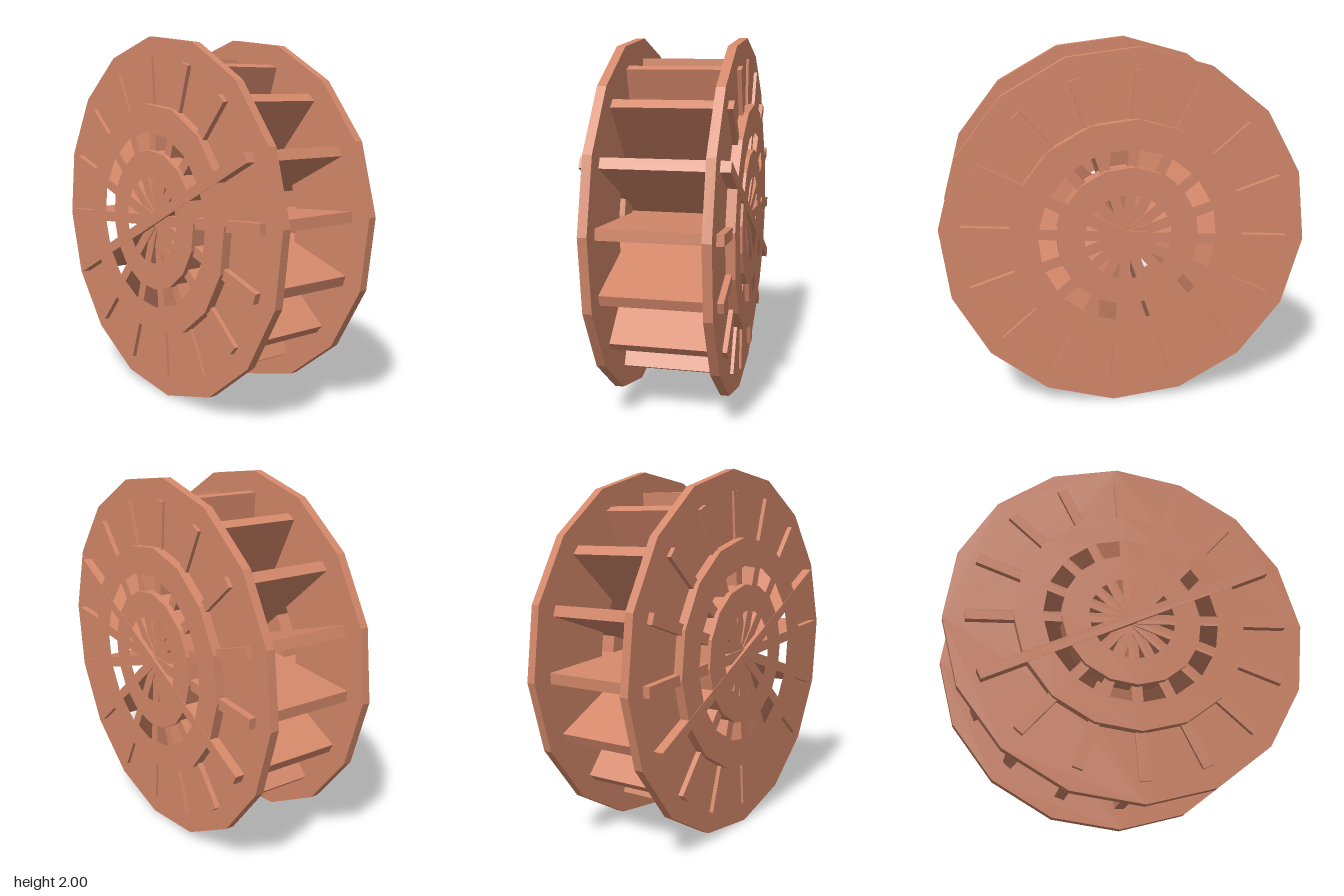
import * as THREE from 'three';

const SIDES = 16;
const STEP = (Math.PI * 2) / SIDES;
const PHASE = THREE.MathUtils.degToRad(4.3);

const material = new THREE.MeshStandardMaterial({ color: 0xd4886a, flatShading: true });

// Corners of the sixteen-sided outline at radius r
function corners(r) {
  return Array.from({ length: SIDES }, (_, i) => {
    const t = PHASE + i * STEP;
    return new THREE.Vector2(Math.sin(t) * r, Math.cos(t) * r);
  });
}

// Flat ring around the x axis, from x0 to x1
function ring(name, outer, inner, x0, x1) {
  const shape = new THREE.Shape(corners(outer));
  shape.holes.push(new THREE.Path(corners(inner)));
  const geometry = new THREE.ExtrudeGeometry(shape, { depth: x1 - x0, bevelEnabled: false });
  geometry.rotateY(Math.PI / 2).translate(x0, 0, 0);
  const mesh = new THREE.Mesh(geometry, material);
  mesh.name = name;
  return mesh;
}

export function createModel() {
  const model = new THREE.Group();
  model.name = 'waterWheel';

  const wheel = new THREE.Group();
  wheel.name = 'wheel';
  wheel.position.y = 1;
  model.add(wheel);

  // Each side: large rim disc, raised middle ring and hub ring
  for (const [side, label] of [[1, 'left'], [-1, 'right']]) {
    const add = (name, outer, inner, a, b) =>
      wheel.add(ring(label + name, outer, inner, Math.min(side * a, side * b), Math.max(side * a, side * b)));
    add('RimDisc', 1.003, 0.6, 0.272, 0.32);
    add('MiddleRing', 0.64, 0.487, 0.272, 0.371);
    add('HubRing', 0.387, 0.24, 0.272, 0.371);
  }

  // Eight full-diameter paddle boards, their ends poking out by slightly different amounts
  const halfWidths = [0.334, 0.338, 0.345, 0.352, 0.358, 0.373, 0.349, 0.343];
  halfWidths.forEach((half, k) => {
    const board = new THREE.Mesh(new THREE.BoxGeometry(half * 2, 1.775, 0.058), material);
    board.name = 'paddleBoard' + (k + 1);
    board.rotation.x = -(PHASE + k * STEP);
    wheel.add(board);
  });

  return model;
}
